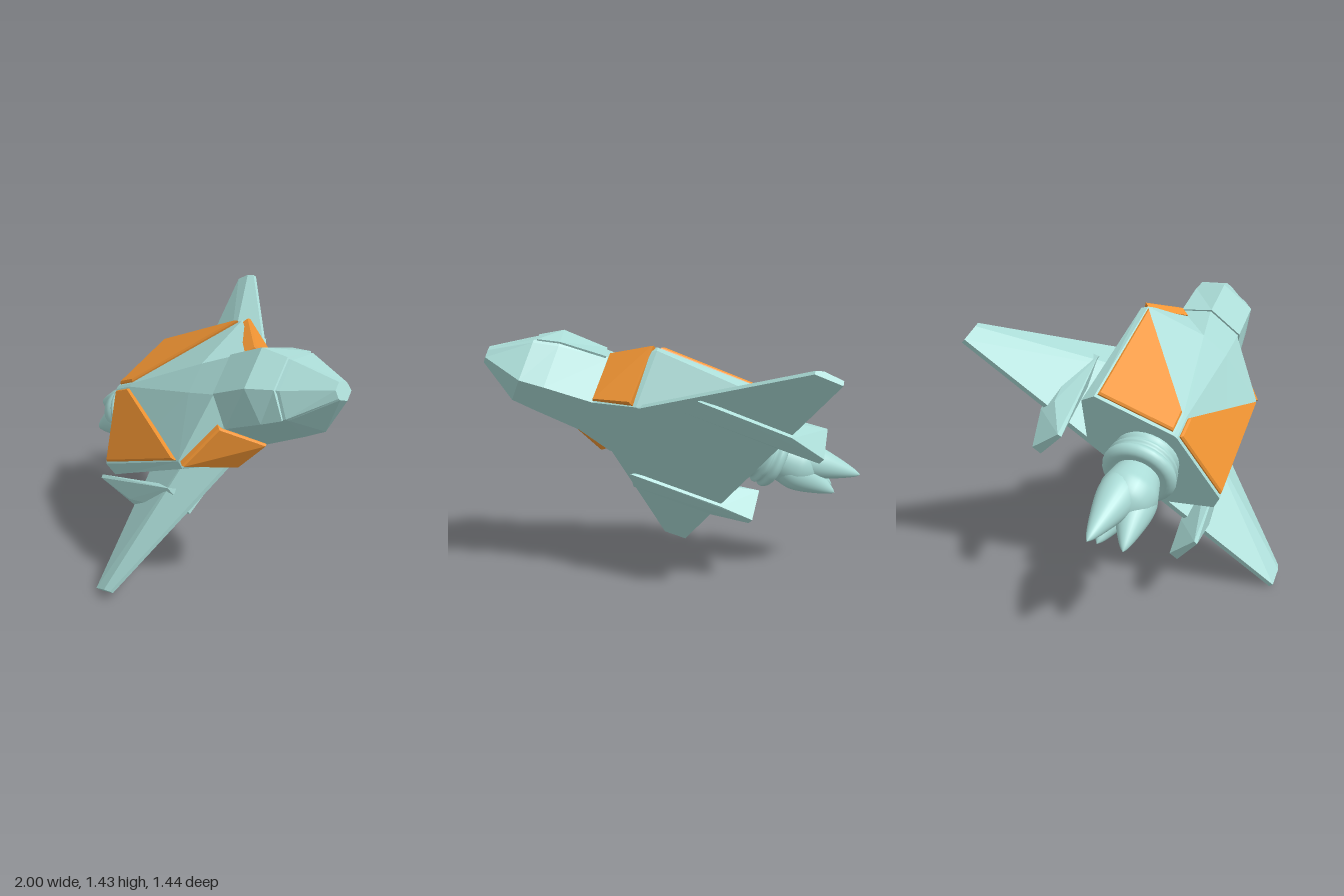
import * as THREE from 'three';
import { ConvexGeometry } from 'three/addons/geometries/ConvexGeometry.js';

const V = (x, y, z) => new THREE.Vector3(x, y, z);
const hullMat = new THREE.MeshStandardMaterial({ color: 0xaadbd6 });
const panelMat = new THREE.MeshStandardMaterial({ color: 0xf09433 });

function mesh(name, geometry, material = hullMat) {
  const m = new THREE.Mesh(geometry, material);
  m.name = name;
  return m;
}

// Faceted solid around a few corners; side = -1 mirrors it
const solid = (pts, side) => new ConvexGeometry(pts.map(([x, y, z]) => V(x * side, y, z)));

// Slab over four corners, with a bevelled outer face
function slab(corners, side, out = 0.016, back = 0.03) {
  const c = corners.map(p => V(...p));
  const mid = c.reduce((s, p) => s.add(p), V(0, 0, 0)).multiplyScalar(0.25);
  const n = V(0, 0, 0).crossVectors(c[2].clone().sub(c[0]), c[3].clone().sub(c[1])).normalize();
  if (n.x < 0) n.negate();
  const pts = [];
  for (const p of c) {
    pts.push(p.clone().addScaledVector(n, -back), p.clone().addScaledVector(n, out * 0.4));
    pts.push(p.clone().lerp(mid, 0.04).addScaledVector(n, out));
  }
  return solid(pts.map(p => p.toArray()), side);
}

// Skin over mirrored half sections [z, [[x, y], ...from top to bottom]]
function loft(sections) {
  const rings = sections.map(([z, half]) => [
    ...half.map(([x, y]) => [x, y, z]),
    ...half.slice().reverse().map(([x, y]) => [-x, y, z])
  ]);
  const n = rings[0].length, idx = [], last = (rings.length - 1) * n;
  for (let i = 0; i < rings.length - 1; i++) for (let k = 0; k < n; k++) {
    const a = i * n + k, b = i * n + (k + 1) % n;
    idx.push(a, a + n, b + n, a, b + n, b);
  }
  for (let k = 1; k < n - 1; k++) {
    idx.push(0, k, k + 1, last, last + k + 1, last + k);
  }
  const g = new THREE.BufferGeometry();
  g.setAttribute('position', new THREE.Float32BufferAttribute(rings.flat(2), 3));
  g.setIndex(idx);
  const flat = g.toNonIndexed();
  flat.computeVertexNormals();
  return flat;
}

// Smooth turned shape running from one point to another
function turned(profile, from, to) {
  const curve = new THREE.SplineCurve(profile.map(([r, t]) => new THREE.Vector2(r, t)));
  const pts = curve.getPoints(28).map(p => new THREE.Vector2(Math.max(0, p.x), p.y));
  const g = new THREE.LatheGeometry(pts, 28);
  const dir = to.clone().sub(from);
  g.scale(1, dir.length(), 1);
  g.applyQuaternion(new THREE.Quaternion().setFromUnitVectors(V(0, 1, 0), dir.normalize()));
  g.translate(from.x, from.y, from.z);
  return g;
}

export function createModel() {
  const ship = new THREE.Group();
  ship.name = 'ship';

  // Fuselage with neck and blunt nose
  ship.add(mesh('fuselage', loft([
    [-0.07, [[0.01, 0.42], [0.395, 0.285], [0.42, 0.21], [0.24, 0]]],
    [0.08, [[0.01, 0.42], [0.395, 0.285], [0.418, 0.22], [0.24, 0]]],
    [0.66, [[0.08, 0.385], [0.39, 0.285], [0.41, 0.25], [0.25, 0]]],
    [0.86, [[0.1, 0.37], [0.2, 0.255], [0.2, 0.24], [0.15, 0]]],
    [1.11, [[0.1, 0.375], [0.185, 0.24], [0.182, 0.22], [0.12, 0]]],
    [1.235, [[0.075, 0.3], [0.163, 0.215], [0.16, 0.2], [0.1, 0]]],
    [1.43, [[0.02, 0.18], [0.042, 0.15], [0.042, 0.14], [0.025, 0.105]]]
  ])));

  // Canopy shell, standing slightly proud of the neck
  ship.add(mesh('canopy', loft([
    [0.87, [[0.103, 0.38], [0.21, 0.25], [0.19, 0.24]]],
    [1.11, [[0.103, 0.385], [0.194, 0.24], [0.17, 0.23]]],
    [1.22, [[0.081, 0.317], [0.173, 0.22], [0.15, 0.21]]]
  ])));

  for (const side of [1, -1]) {
    const s = side > 0 ? 'left' : 'right';

    // Swept wing with a raised ridge and a flat underside
    ship.add(mesh(s + 'Wing', solid([
      [0.23, 0, 0.66], [0.23, 0.02, 0.66], [0.23, 0.11, 0.42], [0.23, 0.03, -0.07], [0.23, 0, -0.07],
      [1, 0, 0.07], [1, 0.02, 0.07], [1, 0.035, 0.03], [1, 0.028, -0.07], [1, 0, -0.07]
    ], side)));

    // Wedge fin running through the wing and out behind it
    ship.add(mesh(s + 'Fin', solid([
      [0.39, -0.02, 0.49], [0.52, -0.02, 0.43], [0.39, -0.02, -0.07], [0.52, -0.02, -0.07],
      [0.405, -0.025, -0.28], [0.455, -0.025, -0.28],
      [0.405, 0.18, -0.29], [0.425, 0.178, -0.29], [0.5, 0.076, -0.06], [0.44, 0.1, 0.33]
    ], side)));

    // Coloured deck panel and shoulder plate
    ship.add(mesh(s + 'DeckPanel', slab([
      [0.02, 0.417, -0.05], [0.02, 0.417, 0.08], [0.385, 0.289, 0.64], [0.385, 0.289, -0.05]
    ], side), panelMat));
    ship.add(mesh(s + 'ShoulderPlate', slab([
      [0.21, 0.275, 0.85], [0.15, 0.01, 0.86], [0.26, 0, 0.69], [0.4, 0.275, 0.68]
    ], side, 0.018, 0.045), panelMat));
  }

  // Ribbed engine nozzle
  ship.add(mesh('nozzle', turned([
    [0.15, 0], [0.165, 0.2], [0.155, 0.36], [0.178, 0.5], [0.168, 0.62],
    [0.185, 0.75], [0.178, 0.9], [0.15, 1], [0.1, 0.96], [0, 0.94]
  ], V(0, 0.19, -0.04), V(0, 0.19, -0.215))));

  // Exhaust flame: a rounded base splitting into three tongues
  const flame = new THREE.Group();
  flame.name = 'exhaustFlame';
  flame.add(mesh('flameBase', turned([
    [0.11, 0], [0.132, 0.3], [0.14, 0.5], [0.115, 0.75], [0.06, 0.93], [0, 1]
  ], V(0, 0.19, -0.19), V(0, 0.19, -0.47))));
  const tongues = [[0.085, 0.215, -0.68], [-0.09, 0.2, -0.6], [0, 0.1, -0.58]];
  for (const [x, y, z] of tongues) {
    const from = V(x * 0.35, 0.19 + (y - 0.19) * 0.4, -0.22);
    flame.add(mesh('flameTongue', turned([
      [0.07, 0], [0.098, 0.25], [0.09, 0.45], [0.055, 0.72], [0.022, 0.92], [0, 1]
    ], from, V(x, y, z))));
  }
  ship.add(flame);

  // Banked, climbing attitude
  const left = V(-0.255, 0.66, -0.705).normalize();
  const fore = V(0.92, 0.385, 0.03);
  fore.addScaledVector(left, -fore.dot(left)).normalize();
  const up = V(0, 0, 0).crossVectors(fore, left);
  ship.quaternion.setFromRotationMatrix(new THREE.Matrix4().makeBasis(left, up, fore));
  ship.position.addScaledVector(left, 0.536).addScaledVector(up, 0.53);

  const model = new THREE.Group();
  model.name = 'model';
  model.add(ship);
  return model;
}
